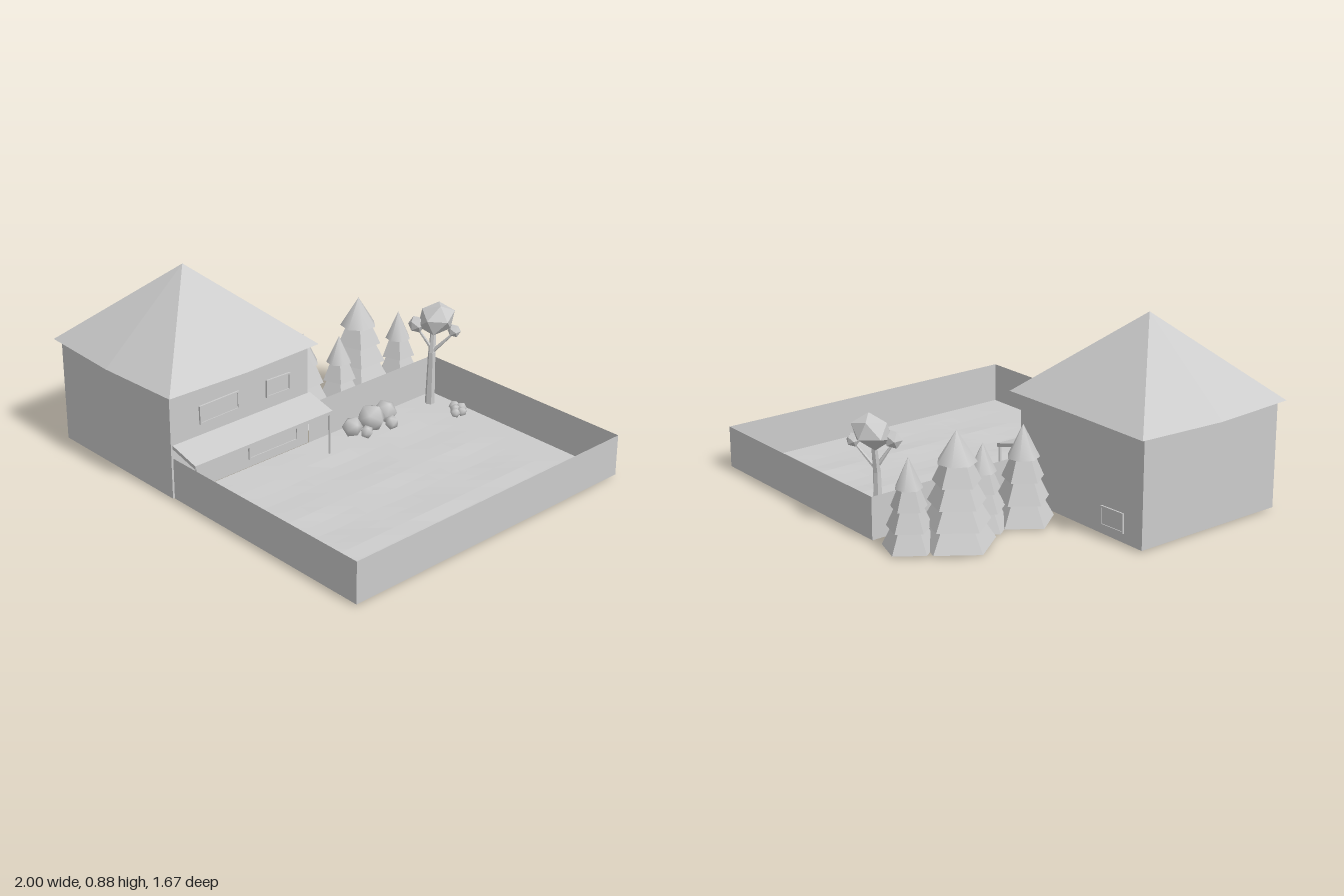
import * as THREE from 'three';
import { mergeVertices } from 'three/addons/utils/BufferGeometryUtils.js';

const flat = new THREE.MeshStandardMaterial({ color: 0xcccccc, flatShading: true, side: THREE.DoubleSide });
const smooth = new THREE.MeshStandardMaterial({ color: 0xcccccc });

function add(parent, name, geometry, x = 0, y = 0, z = 0, material = flat) {
  const mesh = new THREE.Mesh(geometry, material);
  mesh.name = name;
  mesh.position.set(x, y, z);
  parent.add(mesh);
  return mesh;
}

function group(parent, name) {
  const g = new THREE.Group();
  g.name = name;
  parent.add(g);
  return g;
}

// Low-poly ball with shared vertices for soft shading
function ball(r) {
  const g = new THREE.IcosahedronGeometry(r, 0);
  g.deleteAttribute('uv');
  g.deleteAttribute('normal');
  const merged = mergeVertices(g);
  merged.computeVertexNormals();
  return merged;
}

// Tapered round stick between two points
function stick(parent, name, from, to, r0, r1) {
  const a = new THREE.Vector3(...from), b = new THREE.Vector3(...to);
  const dir = b.clone().sub(a);
  const mesh = add(parent, name, new THREE.CylinderGeometry(r1, r0, dir.length(), 6));
  mesh.position.copy(a).add(b).multiplyScalar(0.5);
  mesh.quaternion.setFromUnitVectors(new THREE.Vector3(0, 1, 0), dir.normalize());
}

// Four-sided roof with eaves bowed out at their middles
function roofGeometry() {
  const apex = [-0.545, 0.885, 0.39], y = 0.507;
  const ring = [[-0.12, 0.81], [-0.105, 0.39], [-0.12, -0.035], [-0.545, -0.03],
    [-0.97, -0.035], [-1, 0.39], [-0.97, 0.81], [-0.545, 0.83]];
  const points = [];
  ring.forEach(([x, z], i) => {
    const [nx, nz] = ring[(i + 1) % ring.length];
    points.push(x, y, z, nx, y, nz, ...apex);
    points.push(nx, y, nz, x, y, z, -0.545, y, 0.39);
  });
  const g = new THREE.BufferGeometry();
  g.setAttribute('position', new THREE.Float32BufferAttribute(points, 3));
  g.computeVertexNormals();
  return g;
}

// Framed window facing +z, centred on its own origin
function addWindow(parent, w, h, x, y, z, turn, tilt = 0) {
  const g = group(parent, 'window');
  const t = 0.008;
  add(g, 'windowPane', new THREE.BoxGeometry(w - t, h - t, 0.004));
  for (const s of [-1, 1]) {
    add(g, 'windowFrame', new THREE.BoxGeometry(w, t, 0.012), 0, s * (h - t) / 2, 0);
    add(g, 'windowFrame', new THREE.BoxGeometry(t, h, 0.012), s * (w - t) / 2, 0, 0);
  }
  g.position.set(x, y, z);
  g.rotation.set(0, turn, tilt);
}

// Pentagonal tiers under a softer pointed tip
function addPine(parent, x, z, radius, height, tiers) {
  const g = group(parent, 'pineTree');
  const base = 0.01, tip = (height - base) * (tiers === 5 ? 0.28 : 0.34);
  const step = (height - base - tip) / (tiers - 1);
  const tipRadius = radius * 0.5;
  for (let i = 0; i < tiers - 1; i++) {
    const bottom = THREE.MathUtils.lerp(radius, tipRadius, i / (tiers - 1));
    const top = THREE.MathUtils.lerp(radius, tipRadius, (i + 1) / (tiers - 1)) * 0.76;
    add(g, 'pineTier', new THREE.CylinderGeometry(top, bottom, step, 5, 1, false, -Math.PI / 2),
      0, base + step * (i + 0.5), 0);
  }
  add(g, 'pineTip', new THREE.ConeGeometry(tipRadius, tip, 7, 1, false, -Math.PI / 2),
    0, height - tip / 2, 0, smooth);
  g.position.set(x, 0, z);
}

export function createModel() {
  const model = new THREE.Group();
  model.name = 'houseWithYard';

  // House body, roof and windows
  const house = group(model, 'house');
  add(house, 'houseWalls', new THREE.BoxGeometry(0.787, 0.497, 0.785), -0.547, 0.2585, 0.395);
  add(house, 'roof', roofGeometry());
  const side = Math.PI / 2;
  addWindow(house, 0.22, 0.088, -0.151, 0.363, 0.52, side, 0.02);
  addWindow(house, 0.14, 0.085, -0.151, 0.363, 0.182, side, -0.02);
  addWindow(house, 0.29, 0.09, -0.151, 0.095, 0.215, side);
  addWindow(house, 0.14, 0.09, -0.76, 0.095, 0.001, Math.PI, 0.03);

  // Sloping porch canopy and its posts
  const porch = group(model, 'porch');
  const profile = new THREE.Shape([[-0.155, 0.265], [-0.155, 0.248], [0, 0.208], [0, 0.225]]
    .map(([x, y]) => new THREE.Vector2(x, y)));
  add(porch, 'canopy', new THREE.ExtrudeGeometry(profile, { depth: 0.788, bevelEnabled: false }), 0, 0, -0.01);
  for (const z of [0, 0.765]) stick(porch, 'porchPost', [-0.008, 0.01, z], [-0.008, 0.215, z], 0.007, 0.007);

  // Gently uneven lawn
  const lawn = new THREE.PlaneGeometry(1.15, 1.58, 14, 18).rotateX(-Math.PI / 2);
  const p = lawn.attributes.position;
  for (let i = 0; i < p.count; i++) {
    const x = p.getX(i), z = p.getZ(i);
    const edge = Math.cos(x / 1.15 * Math.PI) * Math.cos(z / 1.58 * Math.PI);
    p.setY(i, -0.01 * Math.min(1, edge * 1.6) * Math.abs(Math.sin(x * 9 + 1) * Math.cos(z * 7)));
  }
  lawn.computeVertexNormals();
  add(model, 'lawn', lawn, 0.425, 0.0105, -0.01);

  // Thin yard walls
  const yard = group(model, 'yardWalls');
  const yardWall = (length, x, z, turn) => {
    add(yard, 'yardWall', new THREE.PlaneGeometry(length, 0.195), x, 0.1075, z).rotation.y = turn;
  };
  yardWall(1.15, 0.425, 0.78, 0);
  yardWall(1.15, 0.425, -0.8, Math.PI);
  yardWall(1.58, 1, -0.01, side);
  yardWall(0.8, -0.15, -0.4, -side);

  // Row of pines outside the yard
  addPine(model, -0.305, -0.72, 0.122, 0.41, 4);
  addPine(model, -0.39, -0.535, 0.174, 0.51, 5);
  addPine(model, -0.315, -0.34, 0.122, 0.39, 4);
  addPine(model, -0.36, -0.155, 0.145, 0.445, 4);

  // Leafy tree in the corner
  const tree = group(model, 'leafyTree');
  stick(tree, 'trunk', [-0.07, 0.01, -0.71], [-0.065, 0.28, -0.71], 0.024, 0.018);
  stick(tree, 'trunk', [-0.065, 0.27, -0.71], [-0.075, 0.41, -0.73], 0.018, 0.013);
  stick(tree, 'branch', [-0.065, 0.28, -0.71], [0.02, 0.385, -0.76], 0.01, 0.005);
  stick(tree, 'branch', [-0.07, 0.3, -0.71], [-0.12, 0.4, -0.665], 0.01, 0.005);
  const crown = add(tree, 'crown', new THREE.IcosahedronGeometry(0.095, 0), -0.055, 0.452, -0.725);
  crown.scale.y = 0.8;
  crown.rotation.set(0.3, 0.4, 0.2);
  add(tree, 'leafClump', new THREE.IcosahedronGeometry(0.042, 0), -0.12, 0.42, -0.66);
  add(tree, 'leafClump', new THREE.IcosahedronGeometry(0.032, 0), 0.025, 0.402, -0.765);

  // Clustered bushes: x, z, radius
  const bushes = group(model, 'bushes');
  [[-0.075, -0.415, 0.058], [-0.055, -0.305, 0.07], [-0.07, -0.2, 0.05], [0, -0.385, 0.035], [-0.01, -0.235, 0.032],
    [0.07, -0.735, 0.028], [0.105, -0.745, 0.028], [0.13, -0.725, 0.024], [0.095, -0.715, 0.026], [0.12, -0.69, 0.024]]
    .forEach(([x, z, r], i) => {
      add(bushes, 'bush', ball(r), x, 0.01 + r * 0.85, z, smooth).rotation.y = i * 0.7;
    });

  return model;
}
